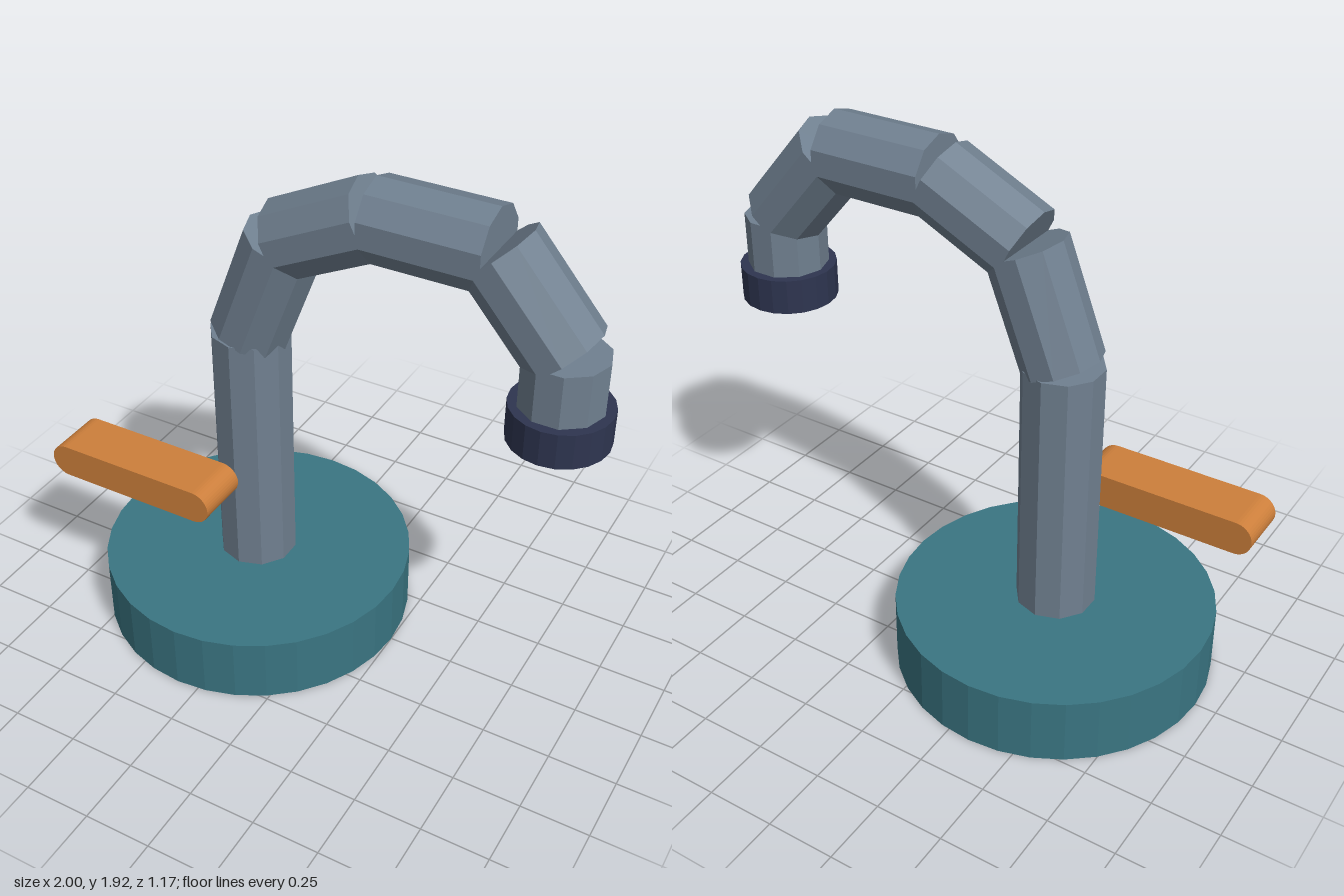
import * as THREE from 'three';

const material = (name, color) => {
  const m = new THREE.MeshStandardMaterial({ color, flatShading: true });
  m.name = name;
  return m;
};

export function createModel() {
  const group = new THREE.Group();
  group.name = 'faucet';
  const teal = material('teal', 0x3a7582);
  const steel = material('slate steel', 0x708090);
  const navy = material('dark navy', 0x2e3550);
  const copper = material('copper', 0xcd7f3b);

  const add = (name, geometry, mat, x, y, z) => {
    const mesh = new THREE.Mesh(geometry, mat);
    mesh.name = name;
    mesh.position.set(x, y, z);
    group.add(mesh);
    return mesh;
  };

  const pipeR = 0.146, sides = 10, baseX = -0.335;

  // Round base and upright column
  add('base', new THREE.CylinderGeometry(0.585, 0.585, 0.25, 32), teal, baseX, 0.125, 0);
  add('column', new THREE.CylinderGeometry(pipeR, pipeR, 1.0, sides), steel, baseX, 0.72, 0);

  // Spout: straight, unmitred pipe lengths along a bent path
  const path = [
    [baseX, 1.22], [-0.184, 1.614], [0.15, 1.777],
    [0.573, 1.777], [0.823, 1.485], [0.823, 1.2],
  ].map(([x, y]) => new THREE.Vector2(x, y));
  for (let i = 0; i < path.length - 1; i++) {
    const a = path[i], b = path[i + 1];
    const geometry = new THREE.CylinderGeometry(pipeR, pipeR, a.distanceTo(b), sides);
    geometry.rotateY(Math.PI / 2); // a corner edge faces up along the arch
    const mesh = add(`spoutSegment${i + 1}`, geometry, steel, (a.x + b.x) / 2, (a.y + b.y) / 2, 0);
    mesh.rotation.z = Math.atan2(b.y - a.y, b.x - a.x) - Math.PI / 2;
  }

  // Nozzle collar
  add('nozzle', new THREE.CylinderGeometry(0.175, 0.175, 0.13, 20), navy, 0.824, 1.229, 0);

  // Lever with rounded ends, standing just off the column
  const r = 0.064, half = 0.3425 - r;
  const outline = new THREE.Shape();
  outline.absarc(half, 0, r, -Math.PI / 2, Math.PI / 2, false);
  outline.absarc(-half, 0, r, Math.PI / 2, Math.PI * 1.5, false);
  const lever = new THREE.ExtrudeGeometry(outline, { depth: 0.203, bevelEnabled: false, curveSegments: 10 });
  add('lever', lever, copper, -0.6575, 0.648, 0.155);

  return group;
}
